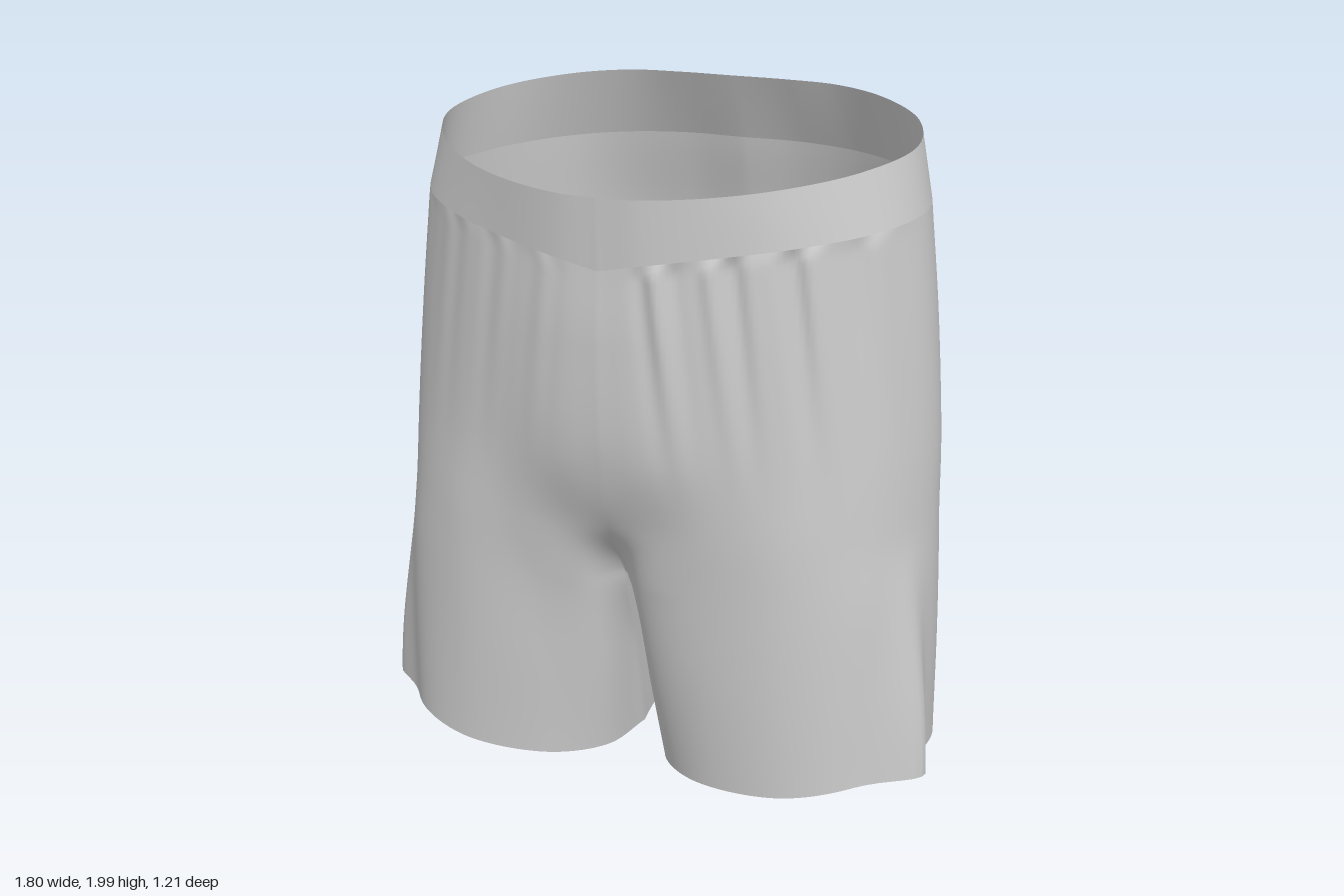
import * as THREE from 'three';
import { mergeGeometries, mergeVertices } from 'three/addons/utils/BufferGeometryUtils.js';

// Half cross-sections [x, z], from centre front around the side to centre back
const WAIST = [[0, .6], [.12, .592], [.3, .535], [.48, .43], [.65, .26], [.74, .05], [.68, -.17], [.52, -.33], [.35, -.405], [.18, -.42], [0, -.42]];
const SEAM = [[0, .59], [.14, .58], [.33, .52], [.53, .42], [.7, .26], [.775, .05], [.715, -.18], [.57, -.38], [.4, -.48], [.2, -.52], [0, -.51]];
const HIP = [[0, .6], [.14, .587], [.33, .53], [.53, .44], [.72, .28], [.81, .06], [.745, -.19], [.6, -.41], [.42, -.56], [.2, -.605], [0, -.585]];
const SEAT = [[0, .58], [.14, .572], [.33, .525], [.54, .455], [.74, .3], [.835, .06], [.76, -.19], [.61, -.41], [.43, -.54], [.2, -.575], [0, -.48]];
const RISE = [[0, .5], [.12, .51], [.31, .51], [.54, .47], [.745, .32], [.84, .07], [.765, -.19], [.62, -.42], [.43, -.545], [.19, -.51], [0, -.33]];
// From the crotch down each half closes into a leg
const CROTCH = [[0, .34], [.09, .455], [.28, .492], [.535, .475], [.75, .34], [.845, .08], [.77, -.2], [.62, -.43], [.41, -.535], [.15, -.4], [0, .34]];
const THIGH = [[.04, .2], [.08, .385], [.25, .47], [.53, .475], [.745, .36], [.845, .08], [.775, -.2], [.61, -.44], [.39, -.52], [.15, -.34], [.04, .2]];
const HEM = [[.065, .1], [.1, .32], [.25, .44], [.53, .47], [.735, .375], [.835, .08], [.78, -.2], [.61, -.44], [.38, -.505], [.16, -.29], [.065, .1]];

const bump = (v, c, w) => Math.exp(-(((v - c) / w) ** 2));
const smooth = THREE.MathUtils.smoothstep;
const waistY = (u, z) => 1.83 + .17 * (.6 - z) / 1.02;
const seamY = u => 1.62 + .17 * Math.sin(u * Math.PI / 2);
const hemY = u => .004 + .075 * bump(u, .46, .15) + .016 * (1 - u);

// Sections with heights, top to bottom
const section = (points, height) => points.map(([x, z], i) => new THREE.Vector3(x, height(i / 10, z), z));
const bandRows = [section(WAIST, waistY), section(SEAM, seamY)];
const bodyRows = [
  section(SEAM, seamY), section(HIP, () => 1.4), section(SEAT, () => 1.05), section(RISE, () => .82),
  section(CROTCH, () => .63), section(THIGH, () => .35), section(HEM, hemY),
];
const CROTCH_ROW = 4;

// Cloth folds: gathers under the band, a side-seam fold at the hem, an off-centre inseam
function drape(p, u, side) {
  const fade = smooth(p.y, .9, 1.65) * (1 - smooth(p.y, seamY(u) - .03, seamY(u)));
  const gather = smooth(p.x, .04, .2) * (1 - smooth(u, .36, .5));
  const slant = p.x - .12 * (1.6 - p.y);
  p.z += (side > 0 ? .011 : .003) * fade * gather * (Math.sin(slant * 46) + .5 * Math.sin(slant * 79 + 1));
  const low = 1 - smooth(p.y, 0, .85);
  p.x += .095 * low * bump(u, side > 0 ? .445 : .465, .026);
  const x = p.x;
  p.x *= side;
  const lean = p.y > .63 ? .03 * (1 - smooth(p.y, .63, 1.1)) : .015 + .015 * p.y / .63;
  p.x -= lean * Math.max(0, 1 - x / .85);
}

// Smooth surface through the sections for one half of the garment
function halfSurface(rows, side, steps, isBody) {
  const nu = 140, nv = (rows.length - 1) * steps;
  const columns = rows[0].map((_, c) => new THREE.CatmullRomCurve3(rows.map(r => r[c])));
  const pos = [], idx = [];
  for (let j = 0; j <= nv; j++) {
    const knots = columns.map(c => c.getPoint(j / nv));
    const first = knots[0], last = knots[10];
    if (isBody && j >= CROTCH_ROW * steps) {
      first.add(last).multiplyScalar(.5);
      if (j === CROTCH_ROW * steps) first.x = 0;
      first.x = Math.max(0, first.x);
      last.copy(first);
    } else first.x = last.x = 0;
    const curve = new THREE.CatmullRomCurve3(knots);
    for (let i = 0; i <= nu; i++) {
      const u = i / nu, p = curve.getPoint(u);
      p.x = Math.max(0, p.x);
      if (isBody) drape(p, u, side);
      else p.x *= side;
      pos.push(p.x, p.y, p.z);
      if (i < nu && j < nv) {
        const a = j * (nu + 1) + i, b = a + nu + 1;
        if (side > 0) idx.push(a, b, a + 1, a + 1, b, b + 1);
        else idx.push(a, a + 1, b, a + 1, b + 1, b);
      }
    }
  }
  const g = new THREE.BufferGeometry();
  g.setAttribute('position', new THREE.Float32BufferAttribute(pos, 3));
  g.setIndex(idx);
  return g;
}

// Sew left and right halves into one smooth sheet
function sewn(name, rows, steps, isBody, material) {
  const halves = [1, -1].map(side => halfSurface(rows, side, steps, isBody));
  const g = mergeVertices(mergeGeometries(halves), 1e-4);
  g.computeVertexNormals();
  const mesh = new THREE.Mesh(g, material);
  mesh.name = name;
  return mesh;
}

export function createModel() {
  const cloth = new THREE.MeshStandardMaterial({ color: 0xcccccc, side: THREE.DoubleSide });
  const group = new THREE.Group();
  group.name = 'shorts';
  group.add(sewn('waistband', bandRows, 6, false, cloth));
  group.add(sewn('seatAndLegs', bodyRows, 14, true, cloth));
  return group;
}
